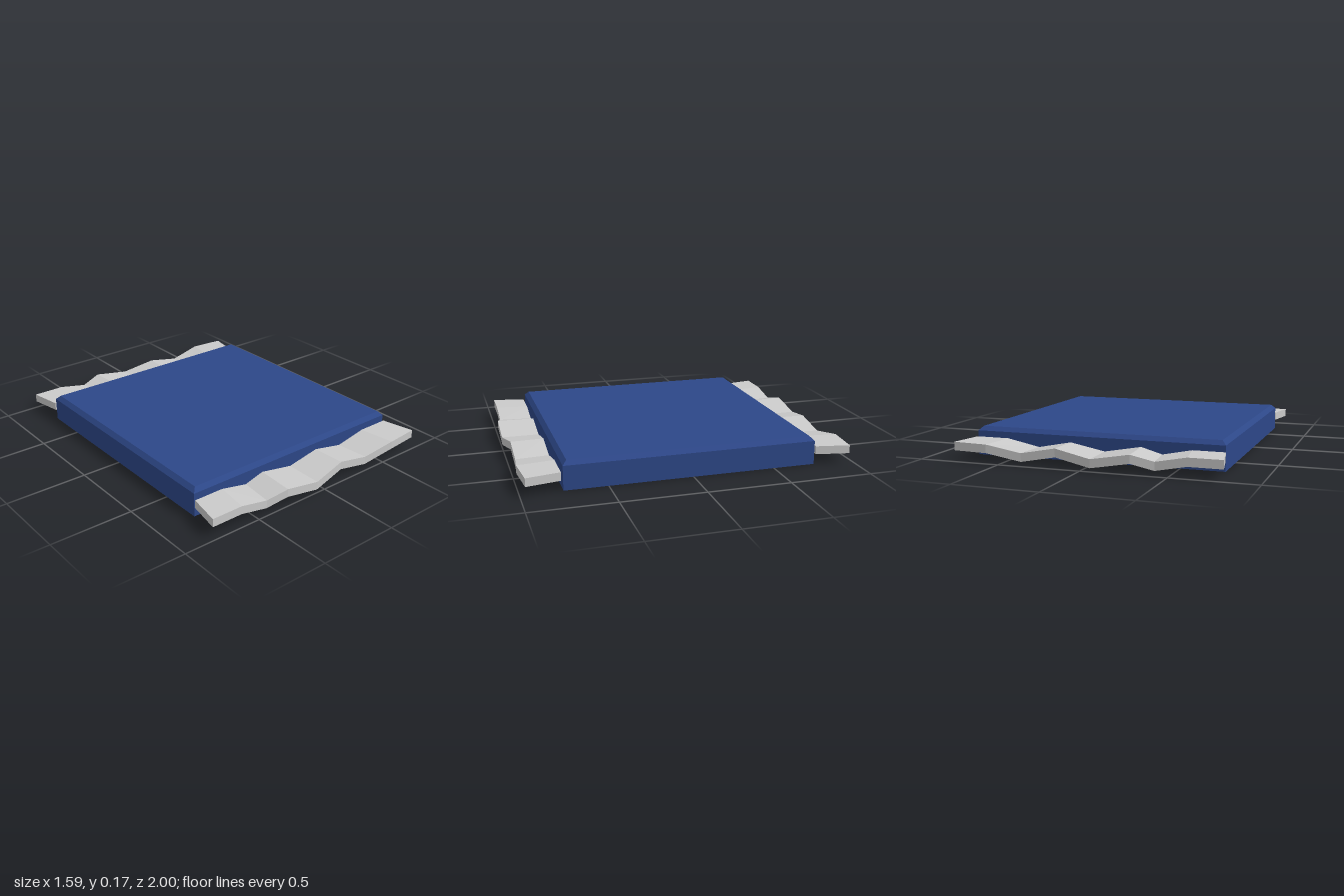
import * as THREE from 'three';

const blue = new THREE.MeshStandardMaterial({ color: 0x2d4788 });
blue.name = 'blue fabric';
const grey = new THREE.MeshStandardMaterial({ color: 0xcacaca });
grey.name = 'pale grey trim';

// Square slab with a chamfered top edge: a four-sided lathe
function makePad() {
  const half = 0.757, bevel = 0.025, r = Math.SQRT2;
  const profile = [
    [0, 0], [half, 0], [half, 0.145], [half - bevel, 0.17], [0, 0.17],
  ].map(([d, y]) => new THREE.Vector2(d * r, y));
  const geometry = new THREE.LatheGeometry(profile, 4, Math.PI / 4).toNonIndexed();
  geometry.computeVertexNormals();
  return new THREE.Mesh(geometry, blue);
}

// Wavy strip stations: outer x, outer z, top height
const stations = [
  [-0.797, 0.97, 0.11], [-0.6, 0.97, 0.11], [-0.42, 0.97, 0.075],
  [-0.29, 0.998, 0.11], [-0.06, 0.998, 0.07], [0.16, 0.97, 0.11],
  [0.37, 0.97, 0.07], [0.58, 0.99, 0.11], [0.795, 0.97, 0.11],
];

// Strip swept across x; side = 1 for the front, -1 for the back
function makeFringe(side) {
  const thickness = 0.05, innerZ = 0.768, taper = 0.952;
  const rings = stations.map(([x, z, y]) => [
    [x * taper, y, innerZ * side], [x, y, z * side],
    [x, y - thickness, z * side], [x * taper, y - thickness, innerZ * side],
  ]);
  const positions = [];
  const quad = (a, b, c, d) => {
    const corners = side > 0 ? [a, b, c, a, c, d] : [a, c, b, a, d, c];
    corners.forEach((p) => positions.push(...p));
  };
  for (let i = 0; i < rings.length - 1; i++) {
    for (let k = 0; k < 4; k++) {
      const n = (k + 1) % 4;
      quad(rings[i][k], rings[i][n], rings[i + 1][n], rings[i + 1][k]);
    }
  }
  // End caps
  const first = rings[0], last = rings[rings.length - 1];
  quad(first[0], first[3], first[2], first[1]);
  quad(last[0], last[1], last[2], last[3]);

  const geometry = new THREE.BufferGeometry();
  geometry.setAttribute('position', new THREE.Float32BufferAttribute(positions, 3));
  geometry.computeVertexNormals();
  return new THREE.Mesh(geometry, grey);
}

export function createModel() {
  const model = new THREE.Group();
  model.name = 'fringedMat';

  const pad = makePad();
  pad.name = 'pad';
  model.add(pad);

  for (const [name, side] of [['frontFringe', 1], ['backFringe', -1]]) {
    const fringe = makeFringe(side);
    fringe.name = name;
    model.add(fringe);
  }
  return model;
}
